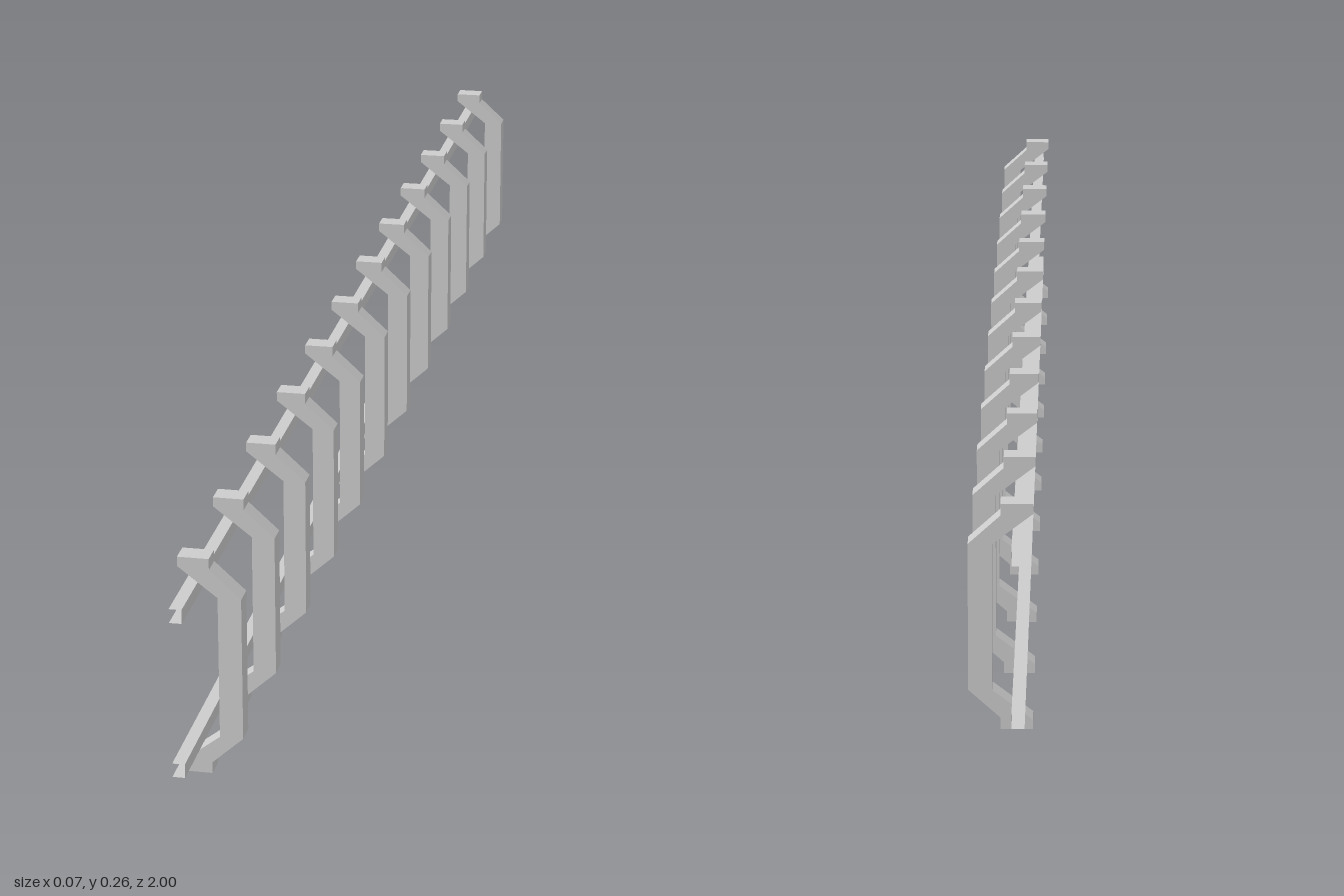
import * as THREE from 'three';

const HEIGHT = 0.256, LENGTH = 2, COUNT = 12, THICK = 0.025;

// Lower half of a bracket outline: outer side going up, inner side coming down
const outer = [[-0.035, 0], [0, 0], [0, 0.013], [0.035, 0.045]];
const inner = [[0.009, 0.045], [-0.035, 0.011]];

// Mirrors points about mid-height
const flip = (points) => points.map(([x, y]) => [x, HEIGHT - y]).reverse();

// Open channel swept along z, flanges pointing to -x
function channelGeometry(x0, x1, y0, y1) {
  const section = [[x0, y1], [x1, y1], [x1, y0], [x0, y0]];
  const positions = [];
  for (let i = 0; i < section.length - 1; i++) {
    const [ax, ay] = section[i], [bx, by] = section[i + 1];
    const h = LENGTH / 2;
    positions.push(ax, ay, -h, ax, ay, h, bx, by, h);
    positions.push(ax, ay, -h, bx, by, h, bx, by, -h);
  }
  const geometry = new THREE.BufferGeometry();
  geometry.setAttribute('position', new THREE.Float32BufferAttribute(positions, 3));
  geometry.computeVertexNormals();
  return geometry;
}

export function createModel() {
  const model = new THREE.Group();
  model.name = 'cableLadder';
  const grey = new THREE.MeshStandardMaterial({ color: 0xcccccc, flatShading: true });
  const sheet = new THREE.MeshStandardMaterial({
    color: 0xcccccc, flatShading: true, side: THREE.DoubleSide,
  });

  // Bent brackets, evenly spaced along the length
  const outline = [...outer, ...flip(outer), ...flip(inner), ...inner];
  const shape = new THREE.Shape(outline.map(([x, y]) => new THREE.Vector2(x, y)));
  const bracketGeometry = new THREE.ExtrudeGeometry(shape, { depth: THICK, bevelEnabled: false });
  bracketGeometry.translate(0, 0, -THICK / 2);
  const spacing = LENGTH / COUNT;
  for (let i = 0; i < COUNT; i++) {
    const bracket = new THREE.Mesh(bracketGeometry, grey);
    bracket.name = `bracket${i + 1}`;
    bracket.position.z = (i - (COUNT - 1) / 2) * spacing;
    model.add(bracket);
  }

  // Thin channel rails lying against the sloped bracket arms
  const rails = { lowerRail: 0.029, upperRail: 0.211 };
  for (const [name, y] of Object.entries(rails)) {
    const rail = new THREE.Mesh(channelGeometry(-0.027, -0.013, y, y + 0.016), sheet);
    rail.name = name;
    model.add(rail);
  }
  return model;
}
